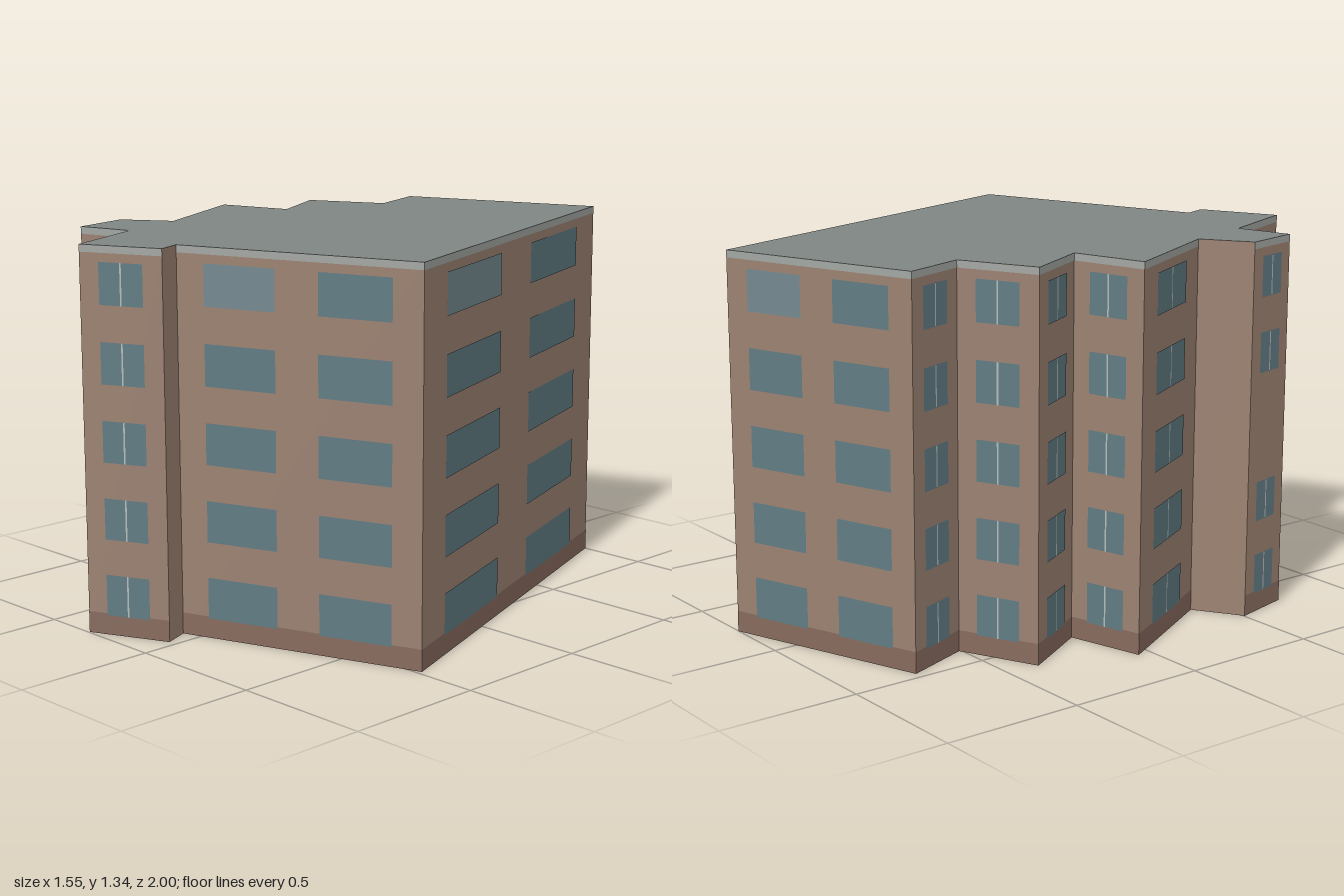
import * as THREE from 'three';

const HEIGHT = 1.335, FLOORS = 5, STOREY = HEIGHT / FLOORS;
const BASE = 0.075, BAND = 0.025;

// footprint corners [x, z], walking left to right as seen from outside
const FOOTPRINT = [
  [-0.305, 0.995], [-0.03, 0.87], [-0.068, 0.778], [0.773, 0.483], [0.242, -1.0],
  [-0.467, -0.745], [-0.38, -0.508], [-0.65, -0.38], [-0.505, -0.122], [-0.775, -0.05],
  [-0.54, 0.395], [-0.705, 0.503], [-0.652, 0.72], [-0.45, 0.667],
];
const BLANK_WALLS = [1, 10];    // short returns without windows or trim
const GAP_WALLS = [11, 12];     // bay walls with no window on the third floor

const paint = (color, side = THREE.FrontSide) => new THREE.MeshStandardMaterial({ color, side });

export function createModel() {
  const model = new THREE.Group();
  model.name = 'apartmentBlock';
  const mats = {
    wall: paint(0x9b8272, THREE.DoubleSide),
    base: paint(0x876b5e),
    band: paint(0xa3a7a3),
    glass: paint(0x617c84),
    paleGlass: paint(0x74898f),
    mullion: paint(0xb4bcba),
    roof: paint(0x7e8682, THREE.DoubleSide),
  };

  // upright rectangle in a wall's own plane, lifted slightly off it
  function panel(parent, name, x0, x1, y0, y1, lift, material) {
    const mesh = new THREE.Mesh(new THREE.PlaneGeometry(x1 - x0, y1 - y0), material);
    mesh.position.set((x0 + x1) / 2, (y0 + y1) / 2, lift);
    mesh.name = name;
    parent.add(mesh);
  }

  FOOTPRINT.forEach(([x, z], i) => {
    const [nx, nz] = FOOTPRINT[(i + 1) % FOOTPRINT.length];
    const len = Math.hypot(nx - x, nz - z);
    const side = new THREE.Group();
    side.name = `facade${i + 1}`;
    side.position.set(x, 0, z);
    side.rotation.y = Math.atan2(z - nz, nx - x);
    model.add(side);

    panel(side, 'wall', 0, len, 0, HEIGHT, 0, mats.wall);
    if (BLANK_WALLS.includes(i)) return;
    panel(side, 'plinth', 0, len, 0, BASE, 0.001, mats.base);
    panel(side, 'parapetBand', 0, len, HEIGHT - BAND, HEIGHT, 0.001, mats.band);

    // wide walls carry two windows per floor, narrow ones a split window
    const wide = len > 0.6;
    const columns = wide ? [[0.115, 0.41], [0.585, 0.88]] : [[0.235, 0.765]];
    for (let floor = 0; floor < FLOORS; floor++) {
      if (floor === 2 && GAP_WALLS.includes(i)) continue;
      const y0 = floor * STOREY + 0.069, y1 = y0 + 0.143;
      columns.forEach(([a, b], c) => {
        const pale = wide && c === 0 && floor === FLOORS - 1;
        panel(side, 'window', a * len, b * len, y0, y1, 0.002, pale ? mats.paleGlass : mats.glass);
        if (!wide) panel(side, 'mullion', len / 2 - 0.003, len / 2 + 0.003, y0, y1, 0.003, mats.mullion);
      });
    }
  });

  // flat roof
  const outline = new THREE.Shape(FOOTPRINT.map(([x, z]) => new THREE.Vector2(x, -z)));
  const roof = new THREE.Mesh(new THREE.ShapeGeometry(outline).rotateX(-Math.PI / 2), mats.roof);
  roof.position.y = HEIGHT;
  roof.name = 'roof';
  model.add(roof);
  return model;
}
